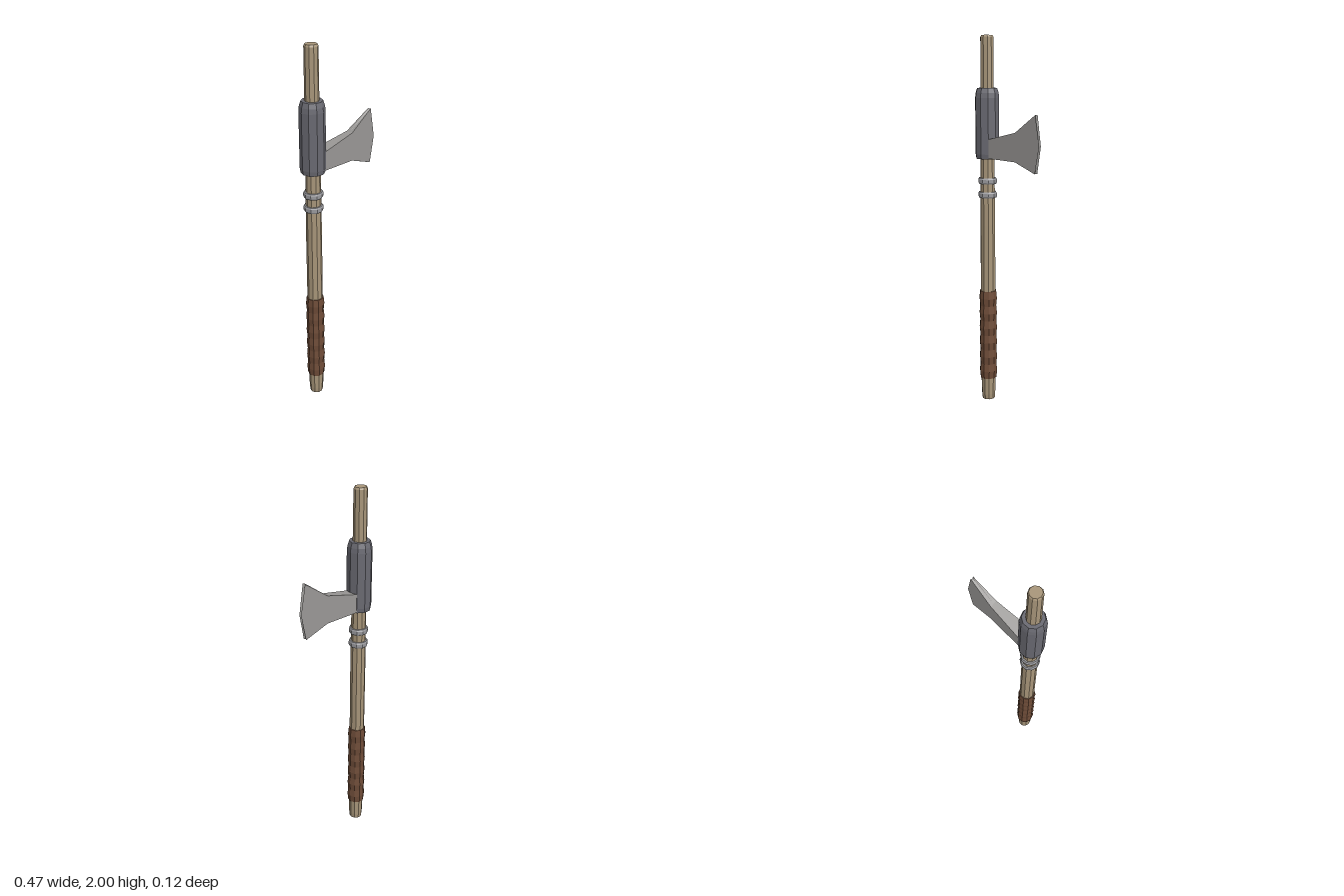
import * as THREE from 'three';

const SIDES = 10;
const AXIS_X = -0.17;

function mesh(name, geometry, color) {
  const m = new THREE.Mesh(geometry, new THREE.MeshStandardMaterial({ color, flatShading: true }));
  m.name = name;
  return m;
}

// Ten-sided turned part around the handle axis, from [radius, y] pairs, bottom to top
function turned(name, profile, color) {
  const points = profile.map(([r, y]) => new THREE.Vector2(r, y));
  const m = mesh(name, new THREE.LatheGeometry(points, SIDES), color);
  m.rotation.y = Math.PI / 2;
  m.position.x = AXIS_X;
  return m;
}

// Flared blade: an extruded outline whose thickness tapers toward the cutting edge
function bladeGeometry() {
  const outline = [
    [-0.13, 1.365], [0.07, 1.36], [0.205, 1.31], [0.232, 1.45],
    [0.205, 1.605], [0.07, 1.51], [-0.13, 1.462],
  ];
  const shape = new THREE.Shape(outline.map(([x, y]) => new THREE.Vector2(x, y)));
  const geometry = new THREE.ExtrudeGeometry(shape, { depth: 1, steps: 2, bevelEnabled: false });
  const pos = geometry.attributes.position;
  for (let i = 0; i < pos.count; i++) {
    const x = pos.getX(i);
    const side = pos.getZ(i) * 2 - 1;
    const half = THREE.MathUtils.mapLinear(x, -0.11, 0.232, 0.036, 0.006);
    pos.setZ(i, side * half);
    // shallow groove along the cutting edge
    if (side === 0 && x > 0.2) pos.setX(i, x - 0.008);
  }
  geometry.computeVertexNormals();
  return geometry;
}

export function createModel() {
  const group = new THREE.Group();
  group.name = 'axe';

  // Wooden handle
  group.add(turned('handle', [
    [0, 0], [0.035, 0], [0.038, 0.03], [0.041, 0.125], [0.041, 1.0],
    [0.036, 1.7], [0.035, 1.99], [0.03, 2], [0, 2],
  ], 0xa8967a));

  // Leather grip with bulging wraps
  const wraps = 6, bottom = 0.125, top = 0.63;
  const grip = [[0.038, bottom]];
  for (let i = 0; i <= wraps * 2; i++) {
    grip.push([i % 2 ? 0.0495 : 0.0455, bottom + (top - bottom) * i / (wraps * 2)]);
  }
  grip.push([0.038, top]);
  group.add(turned('grip', grip, 0x6e4c38));

  // Two metal bands
  for (const y of [1.165, 1.24]) {
    group.add(turned('band', [
      [0.036, y - 0.016], [0.047, y - 0.016], [0.051, y - 0.008],
      [0.051, y + 0.008], [0.047, y + 0.016], [0.036, y + 0.016],
    ], 0x9a9a9e));
  }

  // Socket sleeve
  group.add(turned('socket', [
    [0.034, 1.36], [0.061, 1.36], [0.065, 1.385], [0.065, 1.68],
    [0.062, 1.705], [0.054, 1.73], [0.034, 1.73],
  ], 0x6a6a72));

  group.add(mesh('blade', bladeGeometry(), 0x9a9896));
  return group;
}
